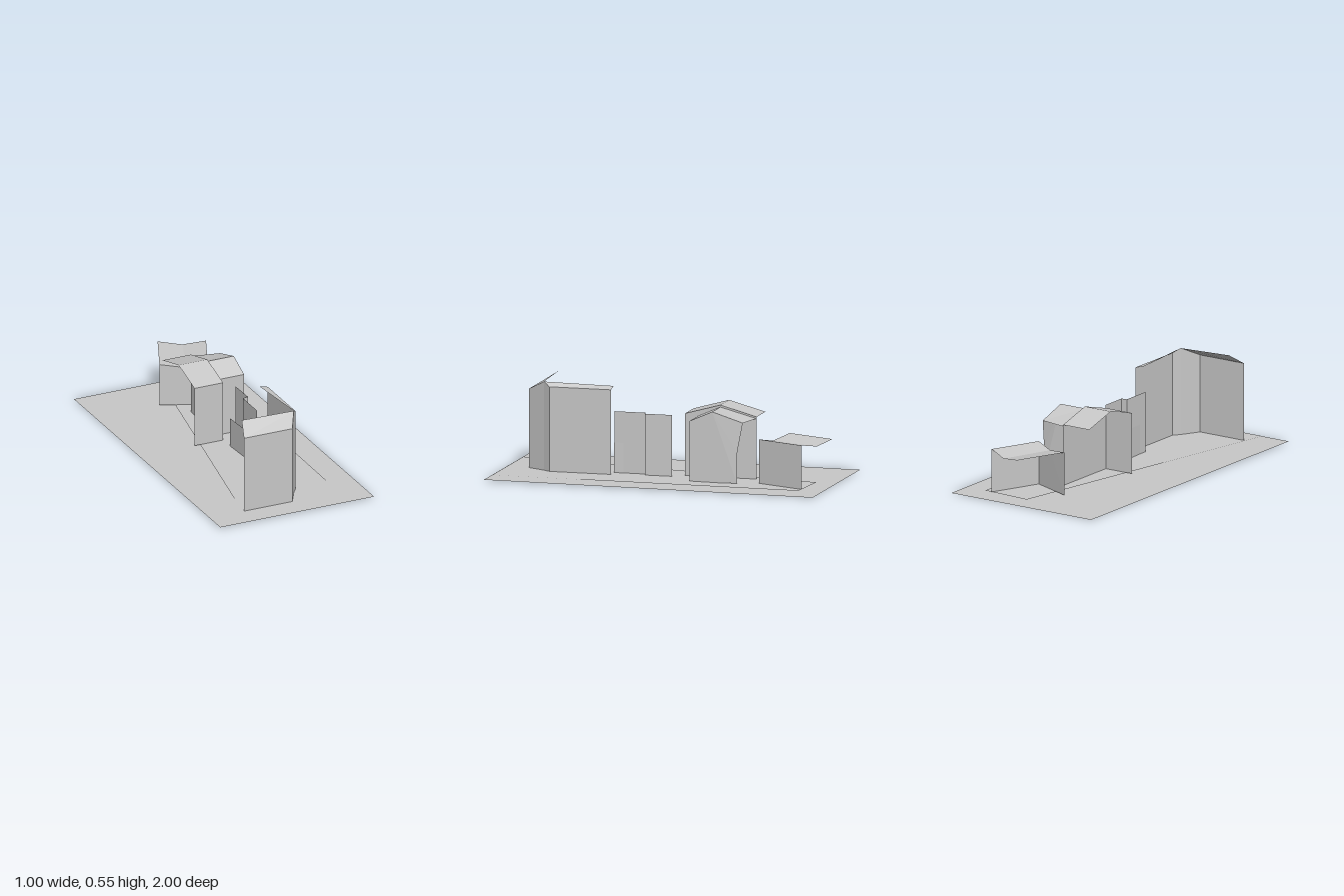
import * as THREE from 'three';

const stone = new THREE.MeshStandardMaterial({ color: 0xc8c8c8, side: THREE.DoubleSide, flatShading: true });
stone.name = 'plain grey';

const FLOOR = 0.012;

// One flat polygon, corners counter-clockwise from outside, fanned from the first
function panel(parent, name, pts) {
  const pos = [];
  for (let i = 1; i < pts.length - 1; i++) pos.push(...pts[0], ...pts[i], ...pts[i + 1]);
  const geo = new THREE.BufferGeometry();
  geo.setAttribute('position', new THREE.Float32BufferAttribute(pos, 3));
  geo.computeVertexNormals();
  const mesh = new THREE.Mesh(geo, stone);
  mesh.name = name;
  parent.add(mesh);
}

// Upright walls along a line of [x, z, top height] points
function walls(parent, name, line) {
  for (let i = 0; i < line.length - 1; i++) {
    const [ax, az, ah] = line[i], [bx, bz, bh] = line[i + 1];
    panel(parent, name, [[ax, FLOOR, az], [bx, FLOOR, bz], [bx, bh, bz], [ax, ah, az]]);
  }
}

function section(model, name) {
  const g = new THREE.Group();
  g.name = name;
  model.add(g);
  return g;
}

export function createModel() {
  const model = new THREE.Group();
  model.name = 'streetBlock';

  // Gently sloping ground sheet with a street strip on it
  const ground = section(model, 'ground');
  panel(ground, 'groundSheet', [[-0.505, 0.01, 1], [0.49, 0.01, 1], [0.5, 0.002, -1], [-0.495, 0.002, -1]]);
  panel(ground, 'streetStrip', [[-0.32, 0.0125, 0.995], [0.33, 0.0125, 0.995], [0.35, 0.0115, -0.87], [0.04, 0.0115, -0.89]]);

  // Tall corner house: street walls and narrow roof strips, open behind
  const corner = section(model, 'cornerHouse');
  walls(corner, 'cornerWall', [
    [-0.285, 0.86, 0.48], [0.028, 0.86, 0.48], [0.09, 0.75, 0.537], [0.12, 0.71, 0.513], [0.12, 0.335, 0.513],
  ]);
  panel(corner, 'frontRoof', [[-0.285, 0.48, 0.86], [0.028, 0.48, 0.86], [0.09, 0.537, 0.75], [-0.25, 0.547, 0.757]]);
  panel(corner, 'sideRoof', [[0.12, 0.513, 0.71], [0.12, 0.513, 0.335], [0.065, 0.527, 0.335], [0.09, 0.537, 0.75]]);

  // Roofless garden walls
  const garden = section(model, 'gardenWalls');
  walls(garden, 'highWall', [[0.05, 0.335, 0.375], [0.05, 0.145, 0.375], [0.085, 0.14, 0.375], [0.083, -0.025, 0.375]]);
  walls(garden, 'lowWall', [[0.053, 0.335, 0.19], [0.035, 0.0, 0.19]]);

  // Gabled main house: front wall, right gable and two slopes
  const ridgeZ = -0.305;
  const house = section(model, 'gabledHouse');
  walls(house, 'frontWall', [[-0.15, -0.09, 0.38], [0.035, -0.09, 0.38]]);
  panel(house, 'gable', [
    [0.035, 0.44, ridgeZ], [0.035, 0.38, -0.09], [0.035, FLOOR, -0.09], [0.035, FLOOR, -0.525], [0.035, 0.38, -0.525],
  ]);
  panel(house, 'frontSlope', [[-0.15, 0.38, -0.09], [0.035, 0.38, -0.09], [0.035, 0.44, ridgeZ], [-0.15, 0.44, ridgeZ]]);
  panel(house, 'backSlope', [[0.035, 0.38, -0.525], [-0.15, 0.38, -0.525], [-0.15, 0.44, ridgeZ], [0.035, 0.44, ridgeZ]]);

  // Smaller gabled wing with a leaning end wall
  const wing = section(model, 'gabledWing');
  walls(wing, 'frontWall', [[0.035, -0.167, 0.367], [0.207, -0.167, 0.367]]);
  panel(wing, 'gable', [
    [0.207, 0.428, ridgeZ], [0.207, 0.367, -0.167], [0.207, 0.005, -0.167],
    [0.225, 0.015, -0.46], [0.216, 0.2, -0.46], [0.205, 0.37, -0.49],
  ]);
  panel(wing, 'frontSlope', [[0.035, 0.367, -0.167], [0.207, 0.367, -0.167], [0.207, 0.428, ridgeZ], [0.035, 0.428, ridgeZ]]);
  panel(wing, 'backSlope', [[0.205, 0.37, -0.49], [0.035, 0.37, -0.525], [0.035, 0.428, ridgeZ], [0.207, 0.428, ridgeZ]]);

  // Turned rear house with a shallow valley roof
  const rear = section(model, 'rearHouse');
  const eave = 0.272, valley = 0.248;
  const valleyFront = [0.055, valley, -0.63], valleyBack = [0.175, valley, -0.933];
  // front wall follows the valley
  panel(rear, 'frontWall', [valleyFront, [-0.09, eave, -0.69], [-0.09, FLOOR, -0.69], [0.17, FLOOR, -0.58], [0.17, eave, -0.58]]);
  walls(rear, 'sideWall', [[0.17, -0.58, eave], [0.3, -0.875, eave]]);
  panel(rear, 'leftSlope', [[-0.09, eave, -0.69], valleyFront, valleyBack, [0.04, eave, -0.987]]);
  panel(rear, 'rightSlope', [valleyFront, [0.17, eave, -0.58], [0.3, eave, -0.875], valleyBack]);

  return model;
}
